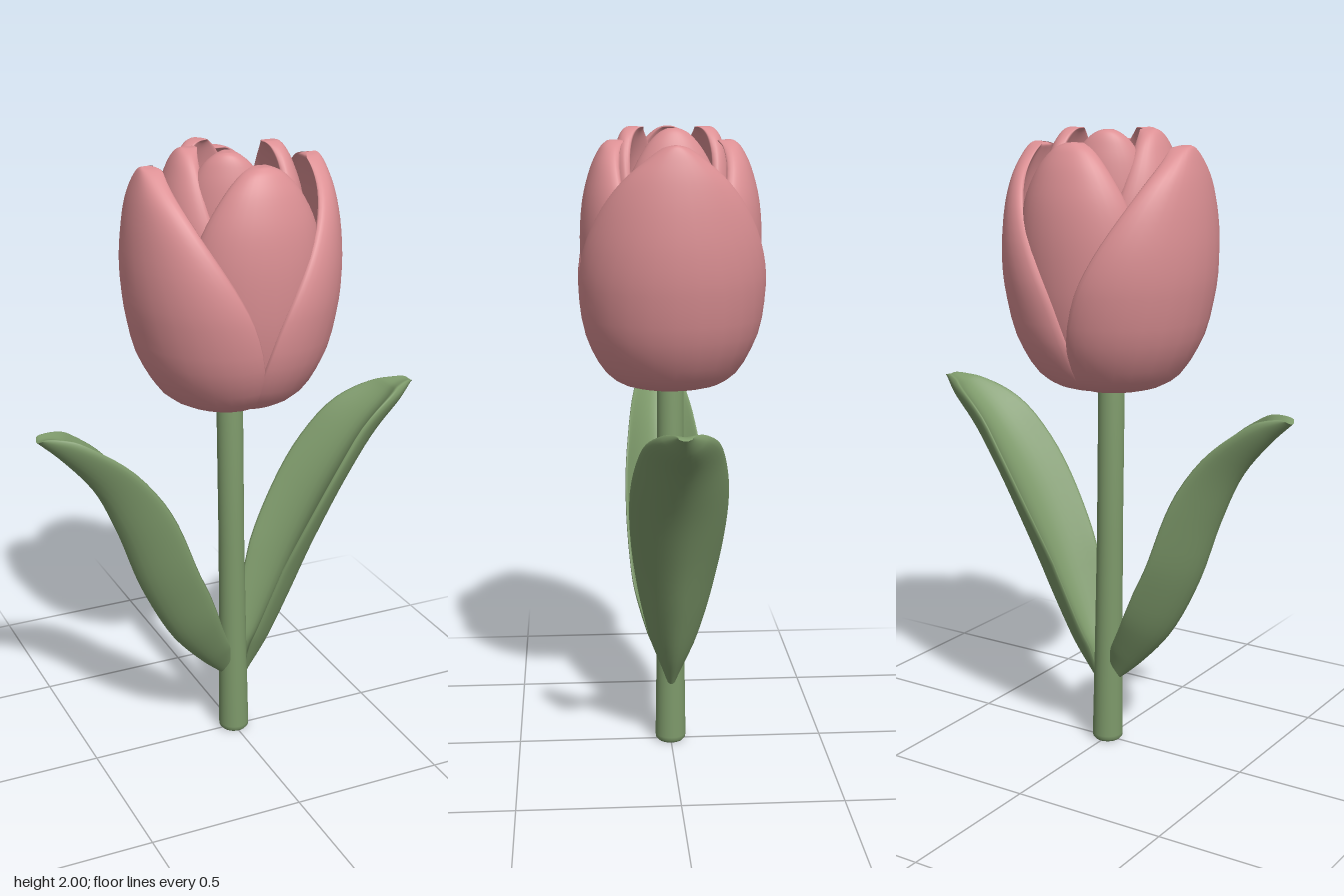
import * as THREE from 'three';

const pink = new THREE.MeshStandardMaterial({ color: 0xdc9094 });
pink.name = 'petalPink';
const green = new THREE.MeshStandardMaterial({ color: 0x7d996a });
green.name = 'leafGreen';

const V = (x, y, z) => new THREE.Vector3(x, y, z);

// Skins closed cross-section rings into one smooth solid, faces turned outward
function loft(rows, cols, pointAt) {
  const pos = [], idx = [], pts = [];
  for (let i = 0; i <= rows; i++) {
    for (let j = 0; j < cols; j++) {
      const p = pointAt(i / rows, (j / cols) * Math.PI * 2);
      pts.push(p);
      pos.push(p.x, p.y, p.z);
    }
  }
  for (let i = 0; i < rows; i++) {
    for (let j = 0; j < cols; j++) {
      const k = (j + 1) % cols, a = i * cols + j, b = i * cols + k;
      idx.push(a, a + cols, b, b, a + cols, b + cols);
    }
  }
  let volume = 0;
  const cross = V(0, 0, 0);
  for (let i = 0; i < idx.length; i += 3) {
    volume += pts[idx[i]].dot(cross.crossVectors(pts[idx[i + 1]], pts[idx[i + 2]]));
  }
  if (volume < 0) idx.reverse();
  const geo = new THREE.BufferGeometry();
  geo.setAttribute('position', new THREE.Float32BufferAttribute(pos, 3));
  geo.setIndex(idx);
  geo.computeVertexNormals();
  return geo;
}

// Rounded, thick-edged section: full in the middle, blunt at the rims
const blunt = (s) => Math.sign(Math.sin(s)) * Math.abs(Math.sin(s)) ** 0.7;

// Cupped petal; profile rows are [radius, height, half angle in degrees]
function petal(name, profile, { turn = 0, thick = 0.055, pull = 0.06, x = -0.01 }) {
  const curve = new THREE.CatmullRomCurve3(profile.map(([r, y, h]) => V(r, y, THREE.MathUtils.degToRad(h))));
  const geo = loft(44, 40, (k, s) => {
    const t = Math.sin((k * Math.PI) / 2);
    const c = curve.getPoint(t);
    const across = Math.cos(s);
    const body = thick * Math.min(1, Math.sqrt(Math.max(0, 1 - t) * 9)) * Math.min(1, 0.3 + t * 4);
    const r = Math.max(0.002, c.x * (1 - pull * across ** 4) - (body / 2) * (1 - blunt(s)));
    const a = Math.max(0, c.z) * across;
    return V(r * Math.cos(a), c.y, r * Math.sin(a));
  });
  const mesh = new THREE.Mesh(geo, pink);
  mesh.name = name;
  mesh.rotation.y = THREE.MathUtils.degToRad(turn);
  mesh.position.x = x;
  return mesh;
}

// Channelled leaf; path rows are [x, y] along the keel, widths are half widths
function leaf(name, path, widths, { depth, roll, z }) {
  const curve = new THREE.CatmullRomCurve3(path.map(([x, y]) => V(x, y, 0)));
  const width = new THREE.CatmullRomCurve3(widths.map((w, i) => V(i, w, 0)));
  const side = Math.sign(path[path.length - 1][0]);
  const geo = loft(48, 36, (k, s) => {
    const t = (1 - Math.cos(k * Math.PI)) / 2;
    const c = curve.getPoint(t), tan = curve.getTangent(t);
    const normal = V(-tan.y * side, tan.x * side, 0);
    const w = Math.max(0, width.getPoint(t).y);
    const u = Math.cos(s);
    const ends = Math.min(1, Math.sqrt(Math.max(0, t * (1 - t)) * 10));
    const a = w * u;
    const cup = depth * Math.min(1, w / 0.13) * (1 - 0.5 * t ** 3);
    const n = cup * Math.abs(u) ** 1.8 + 0.026 * ends * (1 + blunt(s));
    const swing = roll * Math.sin(Math.PI * t);
    const p = c.addScaledVector(normal, n * Math.cos(swing) + a * Math.sin(swing));
    p.z = z * Math.sin(Math.PI * t) + a * Math.cos(swing) - n * Math.sin(swing);
    return p;
  });
  const mesh = new THREE.Mesh(geo, green);
  mesh.name = name;
  return mesh;
}

export function createModel() {
  const model = new THREE.Group();
  model.name = 'tulip';

  // Stem: tapered, leaning slightly
  const stemProfile = [[0, 0], [0.042, 0], [0.049, 0.008], [0.05, 0.02], [0.046, 0.3], [0.042, 0.7], [0.042, 1.25], [0, 1.25]];
  const stemGeo = new THREE.LatheGeometry(stemProfile.map(([r, y]) => new THREE.Vector2(r, y)), 32);
  const p = stemGeo.attributes.position;
  for (let i = 0; i < p.count; i++) p.setX(i, p.getX(i) - 0.012 * p.getY(i));
  const stem = new THREE.Mesh(stemGeo, green);
  stem.name = 'stem';
  model.add(stem);

  // Leaves
  model.add(leaf('leftLeaf',
    [[0.05, 0.21], [0.12, 0.32], [0.205, 0.49], [0.3, 0.69], [0.4, 0.87], [0.51, 1.02], [0.6, 1.11], [0.645, 1.165]],
    [0.015, 0.07, 0.115, 0.145, 0.15, 0.12, 0.07, 0.02], { depth: 0.105, roll: 0, z: -0.008 }));
  model.add(leaf('rightLeaf',
    [[-0.035, 0.21], [-0.12, 0.285], [-0.23, 0.41], [-0.33, 0.6], [-0.405, 0.81], [-0.48, 0.97], [-0.58, 1.09], [-0.65, 1.155]],
    [0.015, 0.07, 0.115, 0.135, 0.135, 0.11, 0.07, 0.025], { depth: 0.125, roll: 0.17, z: 0.025 }));

  // Flower head: rings of petals from the outside in
  const head = new THREE.Group();
  head.name = 'flowerHead';
  model.add(head);

  const outer = [[0.03, 1.22, 95], [0.13, 1.203, 95], [0.215, 1.24, 94], [0.288, 1.35, 91], [0.328, 1.5, 82],
    [0.34, 1.62, 70], [0.336, 1.74, 54], [0.323, 1.84, 37], [0.306, 1.91, 20], [0.293, 1.945, 9], [0.283, 1.955, 0]];
  const middle = [[0.03, 1.23, 70], [0.14, 1.235, 70], [0.22, 1.31, 70], [0.262, 1.45, 68], [0.28, 1.62, 62],
    [0.275, 1.76, 52], [0.25, 1.87, 38], [0.22, 1.935, 24], [0.198, 1.958, 12], [0.185, 1.963, 0]];
  const inner = [[0.03, 1.25, 70], [0.14, 1.28, 70], [0.2, 1.4, 70], [0.232, 1.6, 66], [0.235, 1.75, 56],
    [0.22, 1.86, 44], [0.195, 1.94, 32], [0.175, 1.982, 20], [0.16, 1.998, 9], [0.15, 2, 0]];
  const small = [[0.03, 1.25, 75], [0.11, 1.3, 75], [0.155, 1.45, 75], [0.185, 1.65, 70], [0.19, 1.79, 60],
    [0.182, 1.89, 48], [0.168, 1.955, 34], [0.155, 1.988, 20], [0.143, 1.999, 9], [0.135, 2, 0]];
  const core = [[0.02, 1.25, 100], [0.07, 1.35, 100], [0.11, 1.55, 98], [0.12, 1.7, 88],
    [0.11, 1.79, 68], [0.09, 1.845, 42], [0.07, 1.865, 18], [0.06, 1.87, 0]];

  for (const [label, turn] of [['left', 0], ['right', 180]]) {
    head.add(petal(label + 'OuterPetal', outer, { turn, pull: 0.08 }));
    head.add(petal(label + 'InnerPetal', inner, { turn, x: -0.015 }));
    head.add(petal(label + 'CorePetal', core, { turn, x: -0.03 }));
  }
  for (const [label, turn, skew] of [['front', -90, -25], ['back', 90, 25]]) {
    head.add(petal(label + 'MiddlePetal', middle, { turn, x: 0.01 }));
    head.add(petal(label + 'SmallPetal', small, { turn: turn + skew, x: -0.02 }));
  }
  return model;
}
